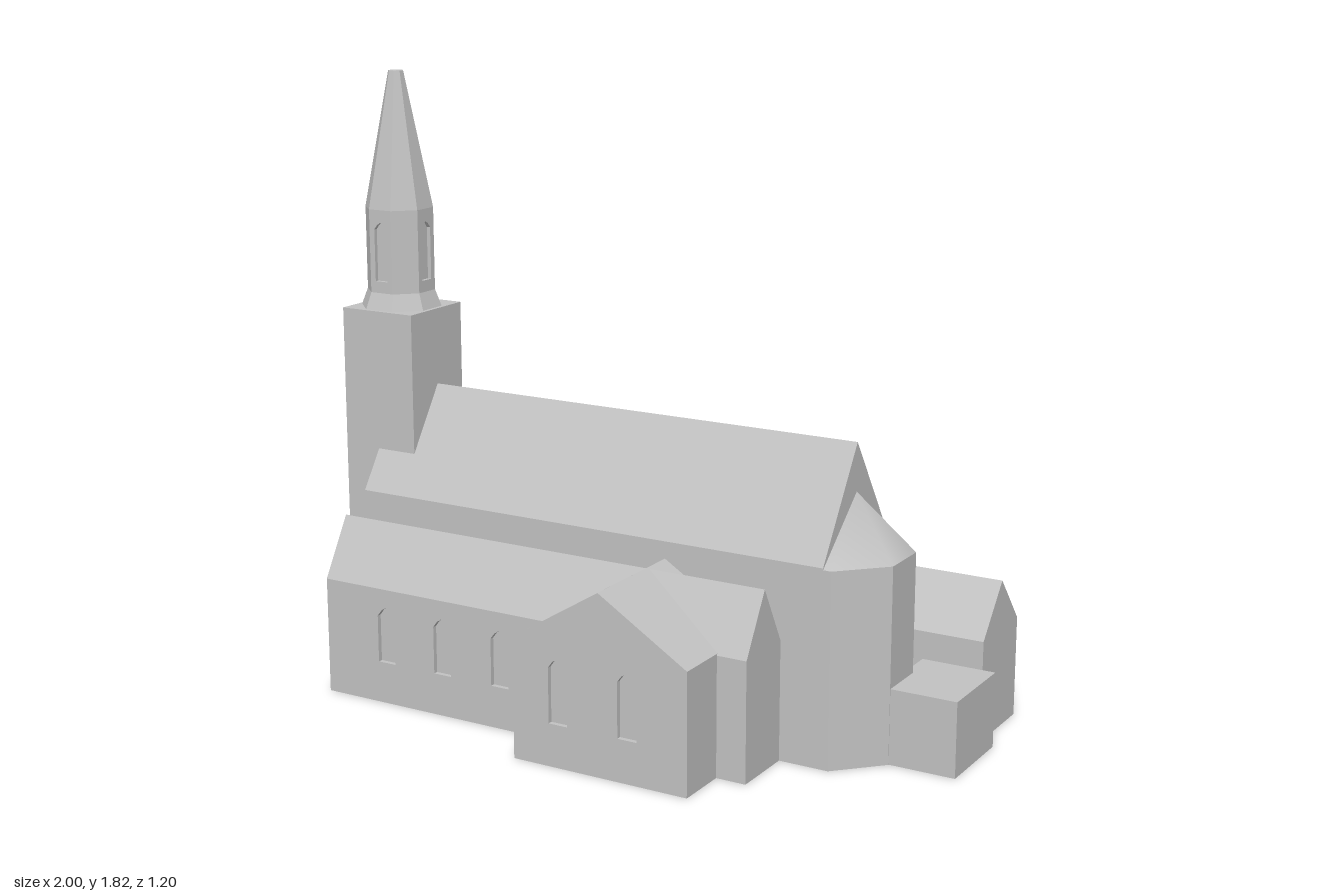
import * as THREE from 'three';

const stone = new THREE.MeshStandardMaterial({ color: 0xc2c2c2 });
stone.name = 'pale stone';

const RECESS = 0.014; // depth of the window niches
const AXIS_Z = 0.045; // centre line of nave and tower
const NAVE_FRONT = 0.245, NAVE_BACK = -0.16;

function toShape(points) {
  return new THREE.Shape(points.map(([x, y]) => new THREE.Vector2(x, y)));
}

// Pointed window outline, used as a hole: centre x, sill, top, width
function lancet([cx, sill, top, w]) {
  const h = w / 2, spring = top - w * 0.48;
  return new THREE.Path([
    [cx - h, sill], [cx + h, sill], [cx + h, spring], [cx + h * 0.55, top - w * 0.18],
    [cx, top], [cx - h * 0.55, top - w * 0.18], [cx - h, spring],
  ].map(([x, y]) => new THREE.Vector2(x, y)));
}

function extrude(points, depth, windows = []) {
  const shape = toShape(points);
  shape.holes = windows.map(lancet);
  return new THREE.ExtrudeGeometry(shape, { depth, bevelEnabled: false });
}

// Outline in x/y, running from z0 to z1
function prismZ(points, z0, z1, windows) {
  return extrude(points, z1 - z0, windows).translate(0, 0, z0);
}

// Outline in z/y, running from x0 to x1
function prismX(points, x0, x1) {
  return extrude(points.map(([z, y]) => [-z, y]), x1 - x0).rotateY(Math.PI / 2).translate(x0, 0, 0);
}

function block(x0, x1, y0, y1, z0, z1) {
  return new THREE.BoxGeometry(x1 - x0, y1 - y0, z1 - z0)
    .translate((x0 + x1) / 2, (y0 + y1) / 2, (z0 + z1) / 2);
}

// Eight-sided frustum sized by apothem, flat sides facing the axes
function octagon(top, bottom, y0, y1) {
  const k = 1 / Math.cos(Math.PI / 8);
  const g = new THREE.CylinderGeometry(top * k, bottom * k, y1 - y0, 8)
    .rotateY(Math.PI / 8).translate(0, (y0 + y1) / 2, 0).toNonIndexed();
  g.computeVertexNormals();
  return g;
}

function rect(x0, x1, y0, y1) {
  return [[x0, y0], [x1, y0], [x1, y1], [x0, y1]];
}

export function createModel() {
  const church = new THREE.Group();
  church.name = 'church';
  const add = (name, geometry, parent = church) => {
    const mesh = new THREE.Mesh(geometry, stone);
    mesh.name = name;
    parent.add(mesh);
    return mesh;
  };

  // Nave with steep gable roof
  add('nave', prismX([
    [NAVE_FRONT, 0], [NAVE_FRONT, 0.575], [AXIS_Z, 0.88], [NAVE_BACK, 0.575], [NAVE_BACK, 0],
  ], -0.88, 0.655));

  // Apse: faceted wall and half-pyramid roof
  const apse = [[0.655, NAVE_FRONT], [0.68, NAVE_FRONT], [0.803, 0.12], [0.803, -0.03], [0.68, NAVE_BACK], [0.655, NAVE_BACK]];
  add('apseWall', extrude(apse.map(([x, z]) => [x, -z]), 0.57).rotateX(-Math.PI / 2));
  const roofPoints = [0.655, 0.74, AXIS_Z];
  apse.forEach(([x, z]) => roofPoints.push(x, 0.57, z));
  const roofIndex = [];
  for (let i = 1; i < apse.length; i++) roofIndex.push(0, i, i + 1);
  const apseRoof = new THREE.BufferGeometry();
  apseRoof.setAttribute('position', new THREE.Float32BufferAttribute(roofPoints, 3));
  apseRoof.setIndex(roofIndex);
  apseRoof.computeVertexNormals();
  add('apseRoof', apseRoof);

  // Aisles and transepts on both sides
  const sides = [
    { name: 'front', s: 1, inner: NAVE_FRONT, ridge: 0.34, outer: 0.44, end: 0.6, xEnd: 0.53 },
    { name: 'back', s: -1, inner: NAVE_BACK, ridge: -0.255, outer: -0.352, end: -0.522, xEnd: 0.52 },
  ];
  const aisleWindows = [-0.665, -0.465, -0.265].map((x) => [x, 0.125, 0.295, 0.06]);
  const transeptWindows = [[0.035, 0.125, 0.315, 0.06], [0.255, 0.125, 0.315, 0.06]];
  const gable = [[-0.11, 0], [0.44, 0], [0.44, 0.355], [0.165, 0.525], [-0.11, 0.355]];
  for (const { name, s, inner, ridge, outer, end, xEnd } of sides) {
    const skin = (z) => [Math.min(z, z - s * RECESS), Math.max(z, z - s * RECESS)];
    const back = outer - s * RECESS;
    add(name + 'Aisle', prismX([
      [inner, 0], [back, 0], [back, 0.34], [outer, 0.34], [outer, 0.35], [ridge, 0.522], [inner, 0.35],
    ], -0.88, xEnd));
    add(name + 'AisleWindowWall', prismZ(rect(-0.88, xEnd, 0, 0.34), ...skin(outer), aisleWindows));
    const transeptBack = end - s * RECESS;
    add(name + 'Transept', prismZ(gable, Math.min(inner, transeptBack), Math.max(inner, transeptBack)));
    add(name + 'TranseptWindowWall', prismZ(gable, ...skin(end), transeptWindows));
  }

  // Low annexes
  add('porch', block(-0.872, -0.72, 0, 0.197, -0.603, -0.345));
  add('eastAnnex', block(0.78, 1, 0, 0.22, -0.148, 0.118));
  add('sacristy', prismX([
    [-0.163, 0], [-0.163, 0.297], [-0.288, 0.442], [-0.413, 0.297], [-0.413, 0],
  ], 0.625, 0.956));

  // Tower with niches in its west wall
  add('tower', block(-1 + RECESS, -0.748, 0, 1.11, AXIS_Z - 0.126, AXIS_Z + 0.126));
  const westWall = add('towerWestWall', extrude(rect(-0.126, 0.126, 0, 1.11), RECESS, [
    [0, 0.03, 0.235, 0.075], [-0.04, 0.31, 0.52, 0.055], [0.04, 0.31, 0.52, 0.055], [0, 0.74, 0.93, 0.07],
  ]));
  westWall.rotation.y = -Math.PI / 2;
  westWall.position.set(-1 + RECESS, 0, AXIS_Z);

  // Octagonal belfry and spire
  const steeple = new THREE.Group();
  steeple.name = 'steeple';
  steeple.position.set(-0.875, 0, AXIS_Z);
  church.add(steeple);
  const a = 0.096, depth = 0.012, half = a * Math.tan(Math.PI / 8);
  add('belfrySkirt', octagon(a, 0.114, 1.11, 1.16), steeple);
  add('belfryCore', octagon(a - depth, a - depth, 1.16, 1.41), steeple);
  for (let i = 0; i < 8; i++) {
    const windows = i % 2 ? [] : [[0, 1.195, 1.372, 0.044]];
    const wall = extrude(rect(-half, half, 1.16, 1.41), depth, windows).translate(0, 0, a - depth);
    add('belfryWall', wall, steeple).rotation.y = i * Math.PI / 4;
  }
  add('spire', octagon(0.021, a, 1.41, 1.815), steeple);

  return church;
}
